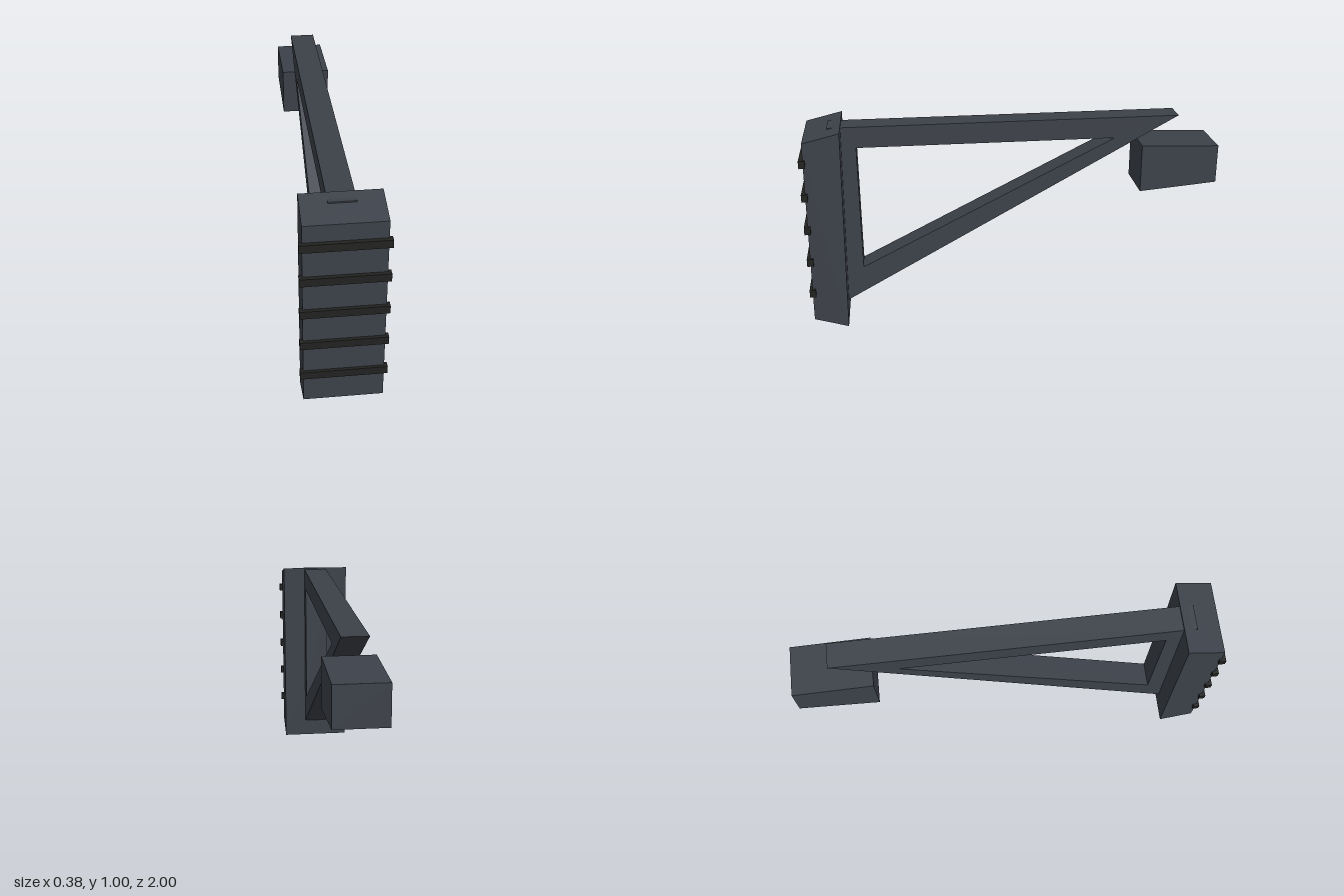
import * as THREE from 'three';

const body = new THREE.MeshStandardMaterial({ color: 0x3c4149 });
body.name = 'slate grey';
const rubber = new THREE.MeshStandardMaterial({ color: 0x222221 });
rubber.name = 'rubber black';

// Side profile given as [z, y] points, extruded across x and centred
function sidePart(name, points, width, hole) {
  const toVectors = (list) => list.map(([z, y]) => new THREE.Vector2(z, y));
  const shape = new THREE.Shape(toVectors(points));
  if (hole) shape.holes.push(new THREE.Path(toVectors(hole)));
  const geometry = new THREE.ExtrudeGeometry(shape, { depth: width, bevelEnabled: false });
  geometry.rotateY(-Math.PI / 2).translate(width / 2, 0, 0);
  const mesh = new THREE.Mesh(geometry, body);
  mesh.name = name;
  return mesh;
}

export function createModel() {
  const model = new THREE.Group();
  model.name = 'shoulderStock';

  // Slanted end plate
  model.add(sidePart('endPlate',
    [[0.98, 0.955], [0.807, 0.997], [0.826, 0], [0.988, 0.05]], 0.35));

  // Open triangular frame, its front corner just breaking the plate's top
  model.add(sidePart('triangularFrame',
    [[0.87, 0.988], [-0.81, 0.988], [0.87, 0.062]], 0.12,
    [[0.74, 0.886], [0.74, 0.264], [-0.5, 0.886]]));

  // Tapered block behind the frame's tip
  model.add(sidePart('rearBlock',
    [[-0.622, 0.86], [-1, 0.845], [-1, 0.658], [-0.622, 0.626]], 0.24));

  // Grip ribs across the plate
  const ribs = new THREE.Group();
  ribs.name = 'gripRibs';
  const ribGeometry = new THREE.BoxGeometry(0.378, 0.037, 0.03);
  for (let i = 0; i < 5; i++) {
    const rib = new THREE.Mesh(ribGeometry, rubber);
    rib.name = 'gripRib';
    rib.position.set(0, 0.196 + i * 0.1655, 0.985);
    ribs.add(rib);
  }
  model.add(ribs);

  return model;
}
